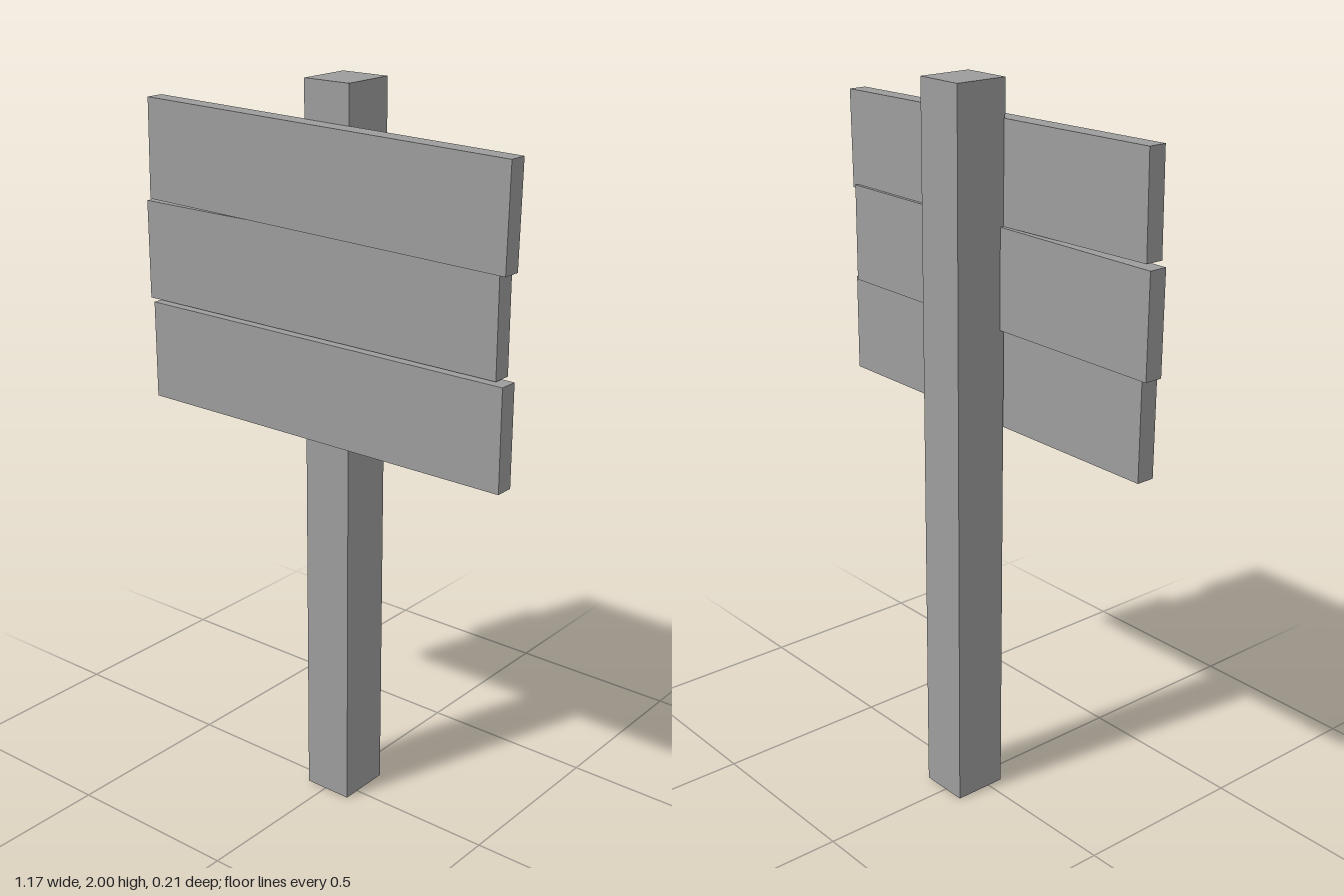
import * as THREE from 'three';

export function createModel() {
  const group = new THREE.Group();
  const material = new THREE.MeshStandardMaterial({ color: 0x9d9d9d, flatShading: true });

  function addBox(name, size, position, tilt = 0) {
    const mesh = new THREE.Mesh(new THREE.BoxGeometry(...size), material);
    mesh.name = name;
    mesh.position.set(...position);
    mesh.rotation.z = tilt;
    group.add(mesh);
  }

  // Upright square post
  addBox('post', [0.141, 2, 0.152], [0.008, 1, -0.03]);

  // Three planks, each slightly shifted; the top one is tilted
  const plank = [1.141, 0.271, 0.051];
  addBox('bottomPlank', plank, [0.016, 1.22, 0.079]);
  addBox('middlePlank', plank, [-0.017, 1.493, 0.058]);
  addBox('topPlank', plank, [0.008, 1.763, 0.068], -0.0186);

  return group;
}
